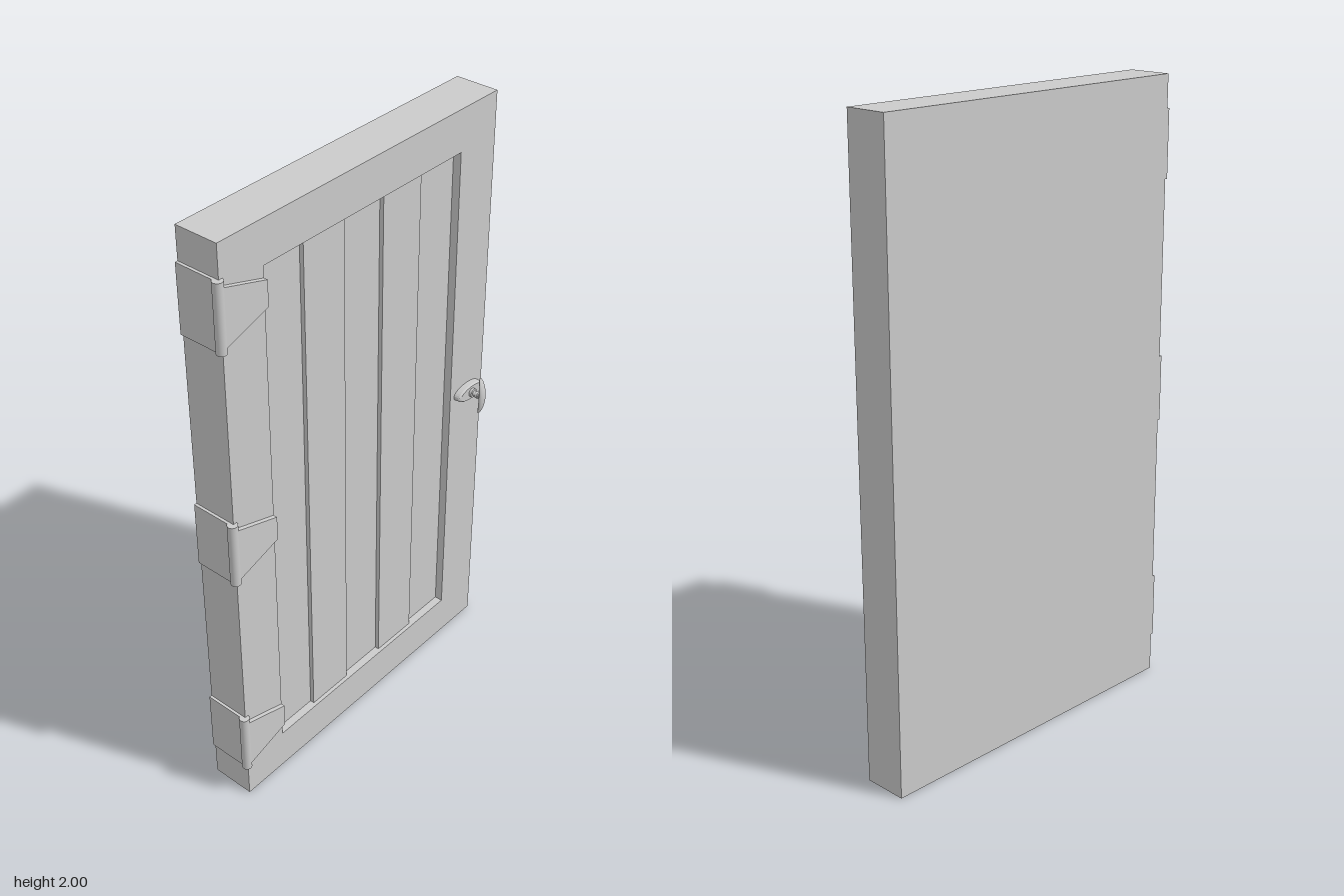
import * as THREE from 'three';

const material = new THREE.MeshStandardMaterial({ color: 0xcccccc });
const flatMaterial = new THREE.MeshStandardMaterial({ color: 0xcccccc, flatShading: true });

function add(parent, name, geometry, x = 0, y = 0, z = 0, mat = flatMaterial) {
  const mesh = new THREE.Mesh(geometry, mat);
  mesh.name = name;
  mesh.position.set(x, y, z);
  parent.add(mesh);
  return mesh;
}

// Box given by its limits on each axis
function addBox(parent, name, [x0, x1], [y0, y1], [z0, z1]) {
  const geometry = new THREE.BoxGeometry(x1 - x0, y1 - y0, z1 - z0);
  return add(parent, name, geometry, (x0 + x1) / 2, (y0 + y1) / 2, (z0 + z1) / 2);
}

const BACK = -0.11, FACE = 0.034;

function makeDoor() {
  const door = new THREE.Group();
  door.name = 'door';

  // Frame: outline with a panel opening, extruded through the thickness
  const rect = (path, z0, y0, z1, y1) =>
    path.moveTo(-z0, y0).lineTo(-z1, y0).lineTo(-z1, y1).lineTo(-z0, y1).closePath();
  const outline = new THREE.Shape();
  rect(outline, 0.56, 0, -0.58, 2);
  const opening = new THREE.Path();
  rect(opening, 0.40, 0.14, -0.42, 1.865);
  outline.holes.push(opening);
  const frame = new THREE.ExtrudeGeometry(outline, { depth: FACE - BACK, bevelEnabled: false });
  frame.rotateY(Math.PI / 2);
  add(door, 'frame', frame, BACK);

  // Five planks, alternately deep and shallow
  const width = 0.82 / 5;
  for (let i = 0; i < 5; i++) {
    const z1 = 0.40 - i * width;
    const front = FACE - (i % 2 ? 0.013 : 0.027);
    addBox(door, 'plank', [BACK, front], [0.14, 1.865], [z1 - width, z1]);
  }
  return door;
}

function makeHinge(y) {
  const hinge = new THREE.Group();
  hinge.name = 'hinge';
  hinge.position.y = y;
  const half = 0.108;
  addBox(hinge, 'edgePlate', [BACK, 0.03], [-half, half], [0.555, 0.569]);
  add(hinge, 'hingePin', new THREE.CylinderGeometry(0.016, 0.016, half * 2, 20), 0.033, 0, 0.563, material);

  // Tapered strap lying on the face
  const strap = new THREE.Shape();
  strap.moveTo(-0.56, -0.091).lineTo(-0.40, -0.041).lineTo(-0.40, 0.041).lineTo(-0.56, 0.091).closePath();
  const geometry = new THREE.ExtrudeGeometry(strap, { depth: 0.014, bevelEnabled: false });
  geometry.rotateY(Math.PI / 2);
  add(hinge, 'strap', geometry, FACE - 0.001);
  return hinge;
}

// Turned part along +x from [distance, radius] pairs
function turned(points) {
  const profile = points.map(([d, r]) => new THREE.Vector2(r, d));
  return new THREE.LatheGeometry(profile, 32).rotateZ(-Math.PI / 2);
}

function makeHandle() {
  const handle = new THREE.Group();
  handle.name = 'handle';
  handle.position.set(FACE, 1, -0.5);

  // Oval backplate with a bevelled rim
  const plate = turned([[0, 1], [0.018, 1], [0.021, 0.97], [0.024, 0.88], [0.024, 0]]);
  plate.scale(1, 0.026, 0.062);
  add(handle, 'backplate', plate);

  // Stem with a collar and a narrow neck
  const stem = turned([
    [0.02, 0.015], [0.033, 0.015], [0.034, 0.009], [0.042, 0.008],
    [0.043, 0.012], [0.052, 0.012], [0.054, 0.008], [0.062, 0.008], [0.062, 0],
  ]);
  add(handle, 'stem', stem);

  // Upright oval grip, its ends bent back toward the door
  const grip = new THREE.SphereGeometry(1, 32, 24);
  grip.scale(0.008, 0.069, 0.015);
  const p = grip.attributes.position;
  for (let i = 0; i < p.count; i++) p.setX(i, p.getX(i) - 2.4 * p.getY(i) ** 2);
  grip.computeVertexNormals();
  add(handle, 'grip', grip, 0.066, 0, 0, material);
  return handle;
}

export function createModel() {
  const model = new THREE.Group();
  model.name = 'plankDoor';
  model.add(makeDoor());
  for (const y of [0.234, 1.003, 1.788]) model.add(makeHinge(y));
  model.add(makeHandle());
  return model;
}
